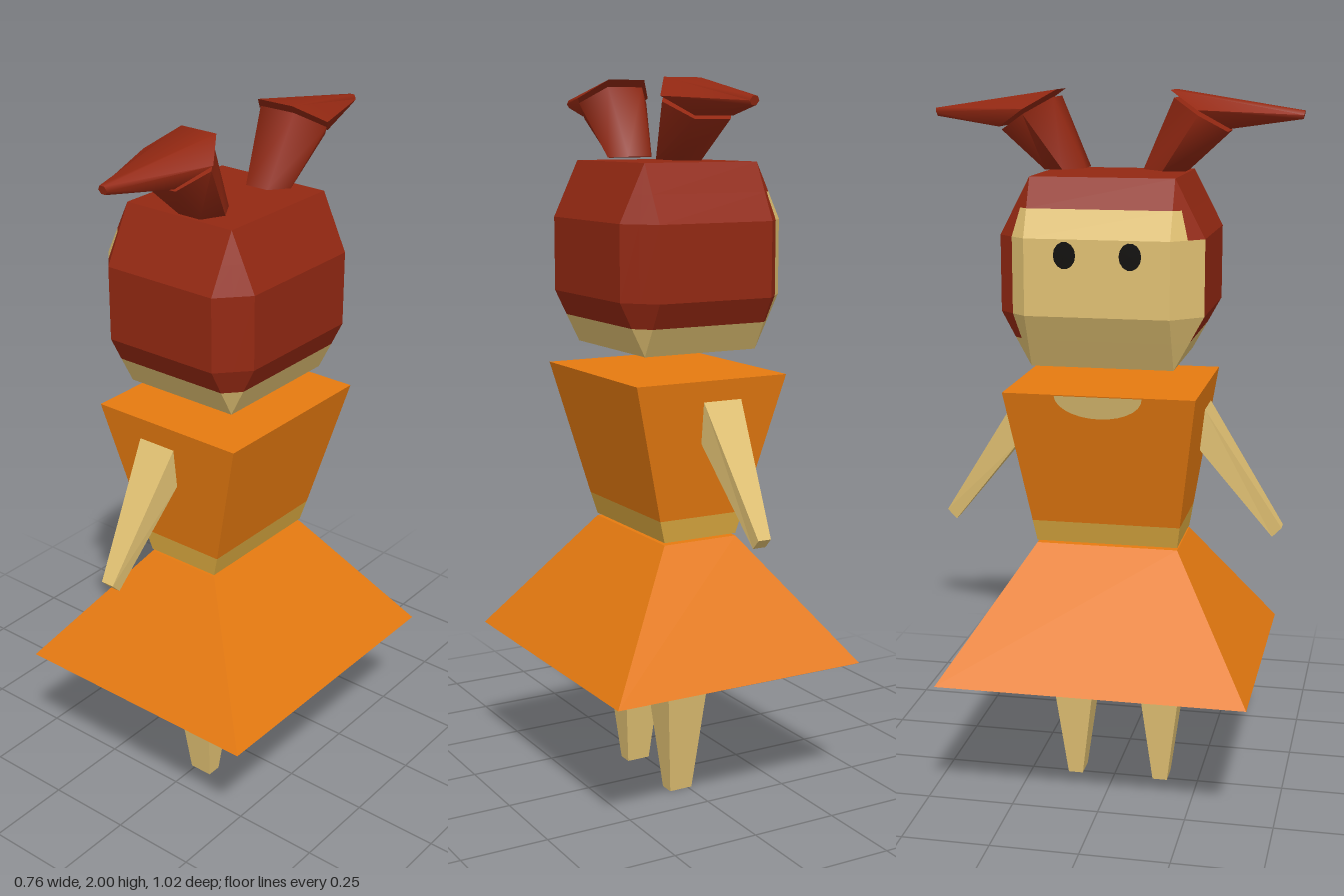
import * as THREE from 'three';
import { toCreasedNormals } from 'three/addons/utils/BufferGeometryUtils.js';

const mat = (name, color) => {
  const m = new THREE.MeshStandardMaterial({ color });
  m.name = name;
  return m;
};

// Faceted skin over a stack of rings (counterclockwise seen from the last ring).
// keep(band, side) chooses which quads to build; caps = [first, last].
function loft(rings, caps = [true, true], keep = () => true) {
  const pos = [];
  const tri = (a, b, c) => {
    const area = b.clone().sub(a).cross(c.clone().sub(a)).length();
    if (area > 1e-7) for (const p of [a, b, c]) pos.push(p.x, p.y, p.z);
  };
  const n = rings[0].length;
  for (let k = 0; k < rings.length - 1; k++) {
    const lo = rings[k], hi = rings[k + 1];
    for (let i = 0; i < n; i++) {
      if (!keep(k, i)) continue;
      const j = (i + 1) % n;
      tri(lo[i], lo[j], hi[j]);
      tri(lo[i], hi[j], hi[i]);
    }
  }
  const first = rings[0], last = rings[rings.length - 1];
  for (let i = 1; i < n - 1; i++) {
    if (caps[0]) tri(first[0], first[i + 1], first[i]);
    if (caps[1]) tri(last[0], last[i], last[i + 1]);
  }
  const g = new THREE.BufferGeometry();
  g.setAttribute('position', new THREE.Float32BufferAttribute(pos, 3));
  g.computeVertexNormals();
  return g;
}

const V = (x, y, z) => new THREE.Vector3(x, y, z);

// Horizontal rectangle
const rect = (y, x0, x1, z0, z1) => [V(x1, y, z1), V(x1, y, z0), V(x0, y, z0), V(x0, y, z1)];

// Copy of the rings on the other side, with the winding kept
const side = (rings, s) => s > 0 ? rings
  : rings.map(r => r.map(p => V(p.x, p.y, -p.z)).reverse());

// Hexagon spanning two [z, y] points, with radius r across x
function hexagon([z0, y0], [z1, y1], r) {
  return Array.from({ length: 6 }, (_, i) => {
    const a = i * Math.PI / 3;
    const t = 0.5 - 0.5 * Math.sin(a) / Math.sin(Math.PI / 3);
    return V(0.033 + r * Math.cos(a), y0 + (y1 - y0) * t, z0 + (z1 - z0) * t);
  });
}

// Head outline: f = 0 is a rectangle, f = 1 the full bevelled outline
function headRing(y, f) {
  const ring = [];
  [[1, 1], [1, -1], [-1, -1], [-1, 1]].forEach(([sx, sz], i) => {
    const a = V(sx * 0.1725 - 0.0035, y, sz * (0.195 + 0.081 * f));
    const b = V(sx * (0.1725 + 0.074 * f) - 0.0035, y, sz * 0.195);
    const m = a.clone().lerp(b, 0.5);
    ring.push(...(i % 2 ? [b, m, a] : [a, m, b]));
  });
  return ring;
}

export function createModel() {
  const model = new THREE.Group();
  const skin = mat('skin', 0xe0c072);
  const hair = mat('red hair', 0x932812);
  const dress = mat('orange dress', 0xe67a10);
  const belt = mat('gold belt', 0xdcaa40);
  const black = mat('black eyes', 0x0c0a08);
  const add = (name, geometry, material) => {
    const m = new THREE.Mesh(geometry, material);
    m.name = name;
    model.add(m);
    return m;
  };

  // Legs
  add('leftLeg', loft([rect(0, -0.012, 0.058, 0.117, 0.16), rect(0.39, -0.045, 0.095, 0.067, 0.21)]), skin);
  add('rightLeg', loft([rect(0, -0.012, 0.058, -0.138, -0.095), rect(0.39, -0.045, 0.095, -0.19, -0.045)]), skin);

  // Dress
  add('skirt', loft([rect(0.4, -0.382, 0.38, -0.432, 0.432), rect(0.75, -0.115, 0.112, -0.2, 0.2)]), dress);
  const waist = rect(0.82, -0.132, 0.13, -0.209, 0.209);
  add('belt', loft([rect(0.757, -0.115, 0.112, -0.2, 0.2), waist], [true, false]), belt);
  add('bodice', loft([waist, rect(1.206, -0.235, 0.231, -0.264, 0.264)], [false, true]), dress);

  // Neckline on the face side of the bodice
  const neck = add('neckline', new THREE.CircleGeometry(0.12, 14, Math.PI, Math.PI), skin);
  neck.scale.y = 0.55;
  neck.rotation.set(0.26, -Math.PI / 2, 0, 'YXZ');
  neck.position.set(-0.238, 1.204, 0);

  // Head: skin and hair share one bevelled form
  const levels = [[1.272, 0], [1.35, 0.53], [1.42, 1], [1.625, 1], [1.7, 0.516], [1.78, 0]];
  const rings = levels.map(([y, f]) => headRing(y, f));
  const isSkin = (band, i) => band === 0 ||
    (band < 4 && i >= 7 && i <= 9) || (band < 3 && i === 10);
  add('face', loft(rings, [true, false], isSkin), skin);
  add('hairCap', loft(rings, [false, true], (band, i) => !isSkin(band, i)), hair);

  // Eyes
  for (const z of [-0.085, 0.09]) {
    const eye = add('eye', new THREE.CircleGeometry(0.03, 14), black);
    eye.scale.y = 1.2;
    eye.rotation.y = -Math.PI / 2;
    eye.position.set(-0.252, 1.583, z);
  }

  // Arms and pigtails on both sides
  for (const s of [1, -1]) {
    const arm = [
      [V(-0.009, 0.812, 0.483), V(-0.009, 0.785, 0.457), V(-0.048, 0.785, 0.457), V(-0.048, 0.812, 0.483)],
      [V(0.03, 1.15, 0.269), V(0.03, 1.035, 0.256), V(-0.087, 1.035, 0.256), V(-0.087, 1.15, 0.269)],
    ];
    add('arm', loft(side(arm, s)), skin);

    const base = [hexagon([0.08, 1.79], [0.195, 1.785], 0.07), hexagon([0.165, 1.98], [0.31, 1.892], 0.108)];
    const tip = [hexagon([0.155, 2.0], [0.317, 1.9], 0.112), hexagon([0.51, 1.947], [0.505, 1.925], 0.014)];
    add('pigtailBase', toCreasedNormals(loft(side(base, s)), 1.13), hair);
    add('pigtailTip', toCreasedNormals(loft(side(tip, s)), 1.13), hair);
  }
  return model;
}
